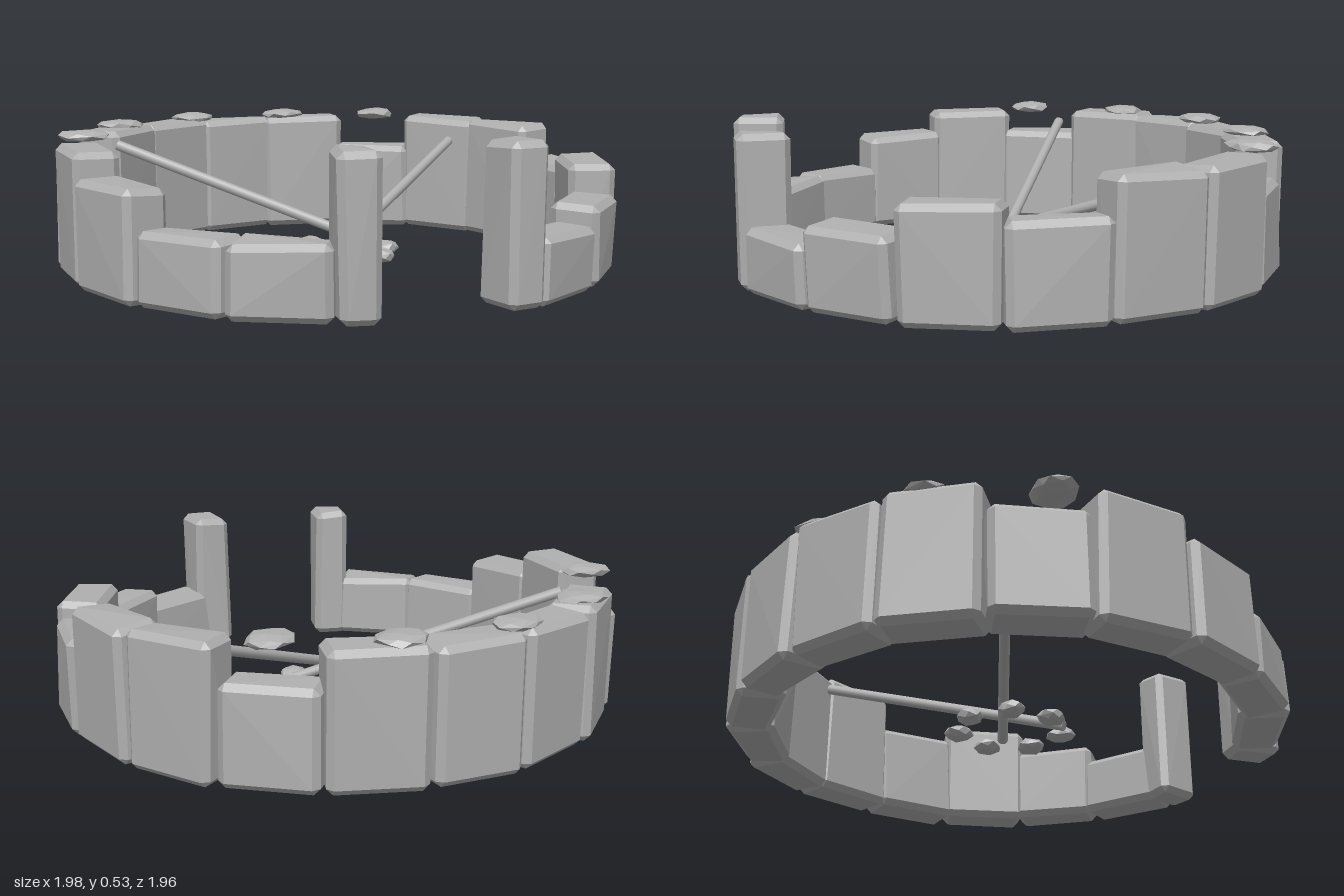
import * as THREE from 'three';
import { ConvexGeometry } from 'three/addons/geometries/ConvexGeometry.js';

// small seeded generator for hand-hewn irregularity, returns -1..1
let seed = 7;
function rnd() {
  seed = (seed * 16807) % 2147483647;
  return (seed / 2147483647) * 2 - 1;
}

// chamfered block standing on y = 0, each corner shifted a little
function stoneBlock(w, h, d, bevel = 0.022, rough = 0.007) {
  const pts = [];
  for (const x of [-1, 1]) for (const y of [0, 1]) for (const z of [-1, 1]) {
    const c = new THREE.Vector3(x * w / 2 + rnd() * rough, y * h + (y ? rnd() : Math.abs(rnd())) * rough, z * d / 2 + rnd() * rough);
    const inX = -x * bevel, inY = (y ? -1 : 1) * bevel, inZ = -z * bevel;
    pts.push(
      new THREE.Vector3(c.x, c.y + inY, c.z + inZ),
      new THREE.Vector3(c.x + inX, c.y, c.z + inZ),
      new THREE.Vector3(c.x + inX, c.y + inY, c.z));
  }
  return new ConvexGeometry(pts);
}

// faceted irregular stone with the given half sizes
function pebble(rx, ry, rz) {
  const pts = [];
  const n = 26;
  for (let i = 0; i < n; i++) {
    const y = 1 - 2 * (i + 0.5) / n;
    const r = Math.sqrt(1 - y * y), a = i * 2.39996, k = 0.95 + rnd() * 0.1;
    pts.push(new THREE.Vector3(Math.cos(a) * r * rx * k, y * ry * k, Math.sin(a) * r * rz * k));
  }
  return new ConvexGeometry(pts);
}

export function createModel() {
  const model = new THREE.Group();
  model.name = 'stoneRingRuin';
  const stone = new THREE.MeshStandardMaterial({ color: 0xb0b0b0 });
  stone.name = 'grey stone';

  function add(parent, name, geometry, x, y, z, yaw = 0) {
    const mesh = new THREE.Mesh(geometry, stone);
    mesh.name = name;
    mesh.position.set(x, y, z);
    mesh.rotation.y = yaw;
    parent.add(mesh);
    return mesh;
  }

  // ring wall: block heights going from the front round by way of +x
  const wall = new THREE.Group();
  wall.name = 'ringWall';
  const tops = [0.235, 0.295, 0.395, 0.35, 0.475, 0.475, 0.35, 0.475, 0.475,
    0.475, 0.475, 0.385, 0.475, 0.385, 0.255, 0.255];
  tops.forEach((top, i) => {
    const a = THREE.MathUtils.degToRad(29.5 + i * 20);
    const r = i > 5 && i < 11 ? 0.893 : 0.905;
    add(wall, 'wallBlock' + (i + 1), stoneBlock(0.325, top - 0.01, 0.165),
      Math.sin(a) * r, 0.01, Math.cos(a) * r, a + rnd() * 0.02);
  });
  model.add(wall);

  // tall gate posts on both sides of the opening
  for (const s of [-1, 1]) {
    add(model, s > 0 ? 'leftGatePost' : 'rightGatePost', stoneBlock(0.138, 0.53, 0.178),
      s * 0.268, 0.01, 0.877, s * 0.15);
  }

  // flat rubble along the top of the rear wall
  const rubble = new THREE.Group();
  rubble.name = 'wallRubble';
  [[-0.87, -0.265], [-0.665, -0.62], [-0.32, -0.84], [0.085, -0.885], [0.465, -0.77]].forEach(([x, z], i) => {
    add(rubble, 'flatStone' + (i + 1), pebble(0.1, 0.024, 0.08), x, 0.484, z, i * 0.25 - 0.2);
  });
  model.add(rubble);

  // small circle of hearth stones in the middle
  const hearth = new THREE.Group();
  hearth.name = 'hearth';
  [[-0.04, -0.16], [0.115, -0.13], [0.185, 0.02], [0.11, 0.16], [-0.04, 0.205], [-0.17, 0.095], [-0.17, -0.06]].forEach(([x, z], i) => {
    add(hearth, 'hearthStone' + (i + 1), pebble(0.056, 0.028, 0.052), x, 0.057, z, i);
  });
  model.add(hearth);

  // fallen beams leaning from the wall to the hearth
  const beams = [
    [[-0.73, 0.435, -0.36], [0.14, 0.075, 0.06]],
    [[0.66, 0.39, -0.445], [-0.095, 0.07, 0.19]],
  ];
  beams.forEach(([p, q], i) => {
    const from = new THREE.Vector3(...p), to = new THREE.Vector3(...q);
    const dir = to.clone().sub(from);
    const beam = add(model, 'fallenBeam' + (i + 1),
      new THREE.CylinderGeometry(0.019, 0.019, dir.length(), 12), 0, 0, 0);
    beam.position.copy(from).lerp(to, 0.5);
    beam.quaternion.setFromUnitVectors(new THREE.Vector3(0, 1, 0), dir.normalize());
  });

  return model;
}
